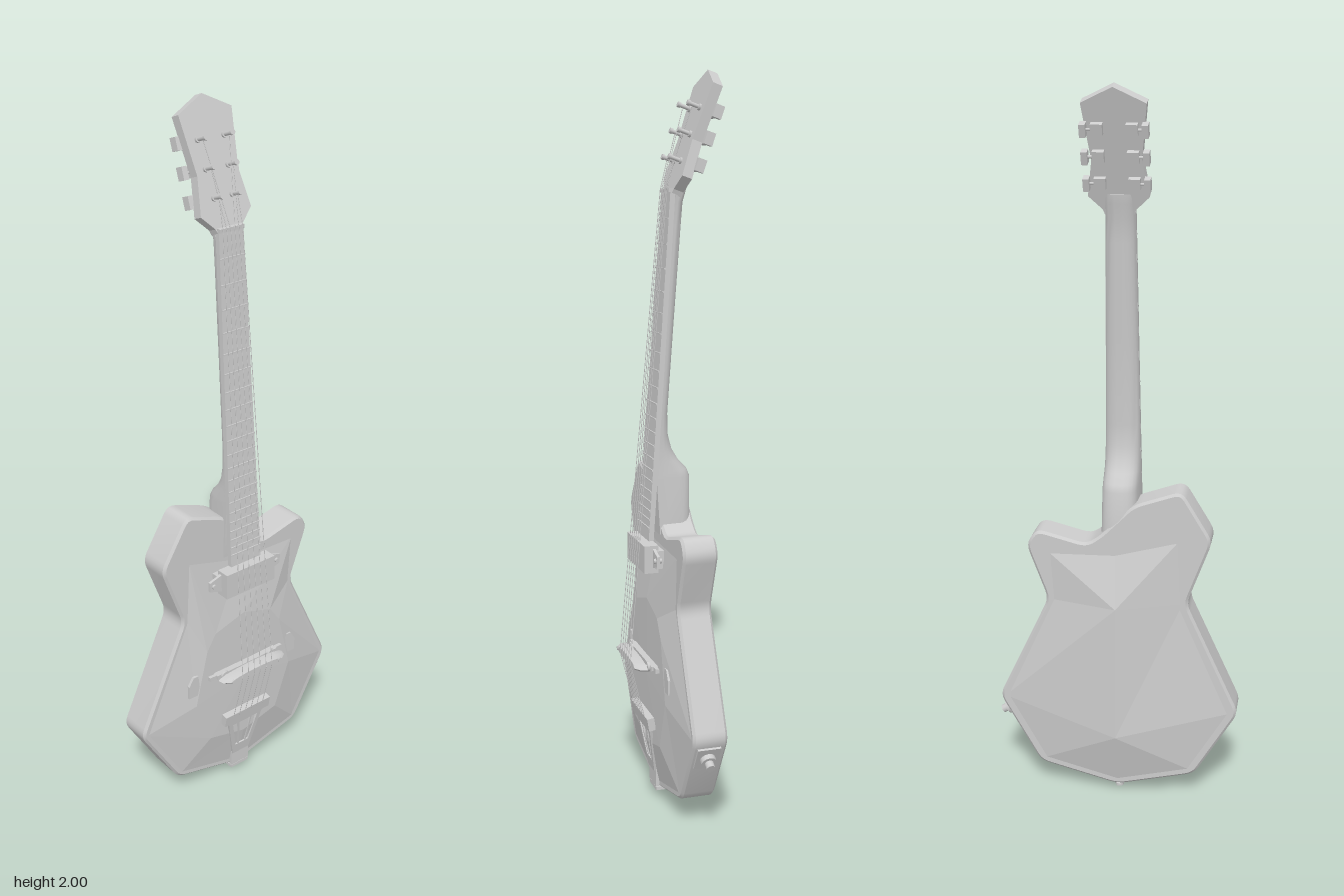
import * as THREE from 'three';
import { toCreasedNormals } from 'three/addons/utils/BufferGeometryUtils.js';

const V = (x, y, z) => new THREE.Vector3(x, y, z);
const CX = -0.008; // centre line of the neck and hardware

export function createModel() {
  const model = new THREE.Group();
  const grey = new THREE.MeshStandardMaterial({ color: 0xcccccc });
  grey.name = 'light grey';

  function add(name, geometry, parent = model, x = 0, y = 0, z = 0) {
    const mesh = new THREE.Mesh(geometry, grey);
    mesh.name = name;
    mesh.position.set(x, y, z);
    parent.add(mesh);
    return mesh;
  }
  const box = (name, w, h, d, x, y, z, parent) =>
    add(name, new THREE.BoxGeometry(w, h, d), parent, x, y, z);
  function rod(name, a, b, r, sides = 10, parent = model, r2 = r) {
    const dir = b.clone().sub(a);
    const mesh = add(name, new THREE.CylinderGeometry(r2, r, dir.length(), sides), parent);
    mesh.position.copy(a).add(b).multiplyScalar(0.5);
    mesh.quaternion.setFromUnitVectors(V(0, 1, 0), dir.normalize());
    return mesh;
  }
  function fromTriangles(points) {
    const g = new THREE.BufferGeometry().setFromPoints(points);
    g.computeVertexNormals();
    return g;
  }
  // Skin closed rings of equal length and cap both ends
  function loft(rings, crease = 0.6) {
    const t = [], n = rings[0].length, last = rings[rings.length - 1];
    for (let s = 0; s < rings.length - 1; s++) {
      const a = rings[s], b = rings[s + 1];
      for (let i = 0; i < n; i++) {
        const j = (i + 1) % n;
        t.push(a[i], a[j], b[j], a[i], b[j], b[i]);
      }
    }
    for (let i = 1; i < n - 1; i++) {
      t.push(rings[0][0], rings[0][i + 1], rings[0][i]);
      t.push(last[0], last[i], last[i + 1]);
    }
    return toCreasedNormals(fromTriangles(t), crease);
  }
  const polygon = (pts) => new THREE.Shape(pts.map(([x, y]) => new THREE.Vector2(x, y)));
  const plate = (shape, depth) => new THREE.ExtrudeGeometry(shape, { depth, bevelEnabled: false });
  // Polygon whose corners are softened by short curves
  function roundedShape(pts, r) {
    const s = new THREE.Shape(), n = pts.length;
    pts.forEach(([x, y], i) => {
      const p = new THREE.Vector2(x, y);
      const toward = ([qx, qy]) => {
        const d = new THREE.Vector2(qx, qy).sub(p), l = d.length();
        return p.clone().addScaledVector(d, Math.min(r, l * 0.4) / l);
      };
      const a = toward(pts[(i + n - 1) % n]), b = toward(pts[(i + 1) % n]);
      if (i) s.lineTo(a.x, a.y); else s.moveTo(a.x, a.y);
      s.quadraticCurveTo(x, y, b.x, b.y);
    });
    s.closePath();
    return s;
  }

  // Body rim with a small bevel
  const outline = [[0.04, 0.80], [-0.05, 0.893], [-0.182, 0.94], [-0.268, 0.80], [-0.20, 0.612],
    [-0.352, 0.285], [-0.23, 0.078], [CX, 0.022], [0.22, 0.078], [0.337, 0.285],
    [0.19, 0.60], [0.25, 0.76], [0.22, 0.807], [0.08, 0.772]];
  const rim = new THREE.ExtrudeGeometry(roundedShape(outline, 0.025), {
    depth: 0.081, bevelThickness: 0.007, bevelSize: 0.007, bevelOffset: -0.007,
    bevelSegments: 1, curveSegments: 4 });
  add('bodyRim', toCreasedNormals(rim, 0.5), model, 0, 0, -0.045);

  // Faceted domes: outer ring on the rim, inner ring raised
  const domeEdge = [[0.19, 0.745], [0, 0.75], [-0.18, 0.80], [-0.19, 0.612], [-0.335, 0.285],
    [-0.22, 0.09], [CX, 0.036], [0.21, 0.09], [0.32, 0.285], [0.18, 0.60]];
  function dome(name, inner, z0, z1, centre) {
    const t = [], n = inner.length, c = V(CX, 0.36, centre);
    for (let i = 0; i < n; i++) {
      const j = (i + 1) % n;
      const [a, b] = [domeEdge[i], domeEdge[j]].map(([x, y]) => V(x, y, z0));
      const [d, e] = [inner[i], inner[j]].map(([x, y]) => V(x, y, z1));
      const quad = [a, b, e, a, e, d, d, e, c];
      for (let k = 0; k < 9; k += 3) {
        const tri = quad.slice(k, k + 3);
        if (tri[0].equals(tri[1]) || tri[1].equals(tri[2])) continue;
        t.push(...(z1 > 0 ? tri : tri.reverse()));
      }
    }
    add(name, fromTriangles(t));
  }
  dome('bodyTop', [[0.09, 0.55], [CX, 0.58], [-0.11, 0.55], [-0.14, 0.50], [-0.18, 0.33],
    [-0.13, 0.19], [CX, 0.16], [0.115, 0.19], [0.165, 0.33], [0.125, 0.50]], 0.042, 0.069, 0.071);
  const upper = [CX, 0.60], lower = [CX, 0.20];
  dome('bodyBack', [upper, upper, upper, upper, lower, lower, lower, lower, lower, upper],
    -0.05, -0.096, -0.096);

  // Neck and heel: D-shaped sections
  const boardZ = (y) => 0.012 + (1.69 - y) * 0.0705;
  const boardW = (y) => 0.039 + (1.69 - y) * 0.0145;
  const neckSections = [[0.77, -0.051, 0.3], [0.925, -0.05, 0.35], [0.945, -0.042, 0.45], [0.97, -0.018, 0.6],
    [1.0, 0.0, 0.75], [1.04, 0.011, 0.85], [1.1, 0.013, 0.9], [1.35, -0.006, 0.9], [1.6, -0.026, 0.9],
    [1.66, -0.031, 0.85], [1.70, -0.042, 0.7], [1.725, -0.046, 0.6]];
  add('neck', loft(neckSections.map(([y, back, power]) => {
    const front = y > 1.69 ? -0.012 : y < 0.9 ? 0.045 : boardZ(y) - 0.012, ring = [];
    for (let i = 0; i <= 12; i++) {
      const a = i / 12 * Math.PI;
      const s = i === 12 ? 0 : Math.sin(a);
      ring.push(V(CX + Math.cos(a) * boardW(y), y, front - Math.pow(s, power) * (front - back)));
    }
    return ring;
  }), 0.8));

  // Fingerboard and frets
  add('fingerboard', loft([0.755, 1.685].map((y) => {
    const w = boardW(y), z = boardZ(y);
    return [V(CX + w, y, z), V(CX + w, y, z - 0.014), V(CX - w, y, z - 0.014), V(CX - w, y, z)];
  })));
  for (let n = 1; n <= 21; n++) {
    const y = 0.41 + 1.28 / Math.pow(2, n / 12);
    box('fret', boardW(y) * 2, 0.004, 0.004, CX, y, boardZ(y) + 0.001);
  }
  box('nut', 0.078, 0.01, 0.022, CX, 1.69, 0.006);

  // Tilted headstock with three tuners a side
  const head = new THREE.Group();
  head.name = 'headstock';
  head.position.set(CX, 1.68, 0.009);
  head.rotation.x = -0.336;
  model.add(head);
  const half = [[0.038, 0], [0.043, 0.014], [0.079, 0.05], [0.064, 0.148], [0.082, 0.298]];
  const headShape = polygon([...half, [0, 0.339], ...half.map(([x, y]) => [-x, y]).reverse()]);
  add('headstockPlate', plate(headShape, 0.028), head, 0, 0, -0.028);
  const tuners = [[0.029, 0.09], [0.035, 0.162], [0.041, 0.234]];
  for (const side of [-1, 1]) {
    for (const [px, v] of tuners) {
      const x = side * px, kx = side * 0.078;
      rod('tunerBushing', V(x, v, 0), V(x, v, 0.006), 0.009, 8, head);
      rod('tunerPost', V(x, v, 0), V(x, v, 0.038), 0.0055, 8, head);
      rod('tunerPostCap', V(x, v, 0.03), V(x, v, 0.038), 0.0075, 8, head);
      box('tunerGearbox', 0.03, 0.03, 0.016, side * 0.044, v, -0.035, head);
      rod('tunerShaft', V(side * 0.04, v, -0.037), V(kx, v, -0.037), 0.004, 8, head);
      box('tunerButton', 0.016, 0.034, 0.024, kx, v, -0.038, head);
    }
  }

  // Neck pickup with mounting ears
  box('pickup', 0.17, 0.076, 0.04, CX, 0.712, 0.08);
  box('pickupMount', 0.19, 0.05, 0.022, CX, 0.712, 0.058);
  for (const side of [-1, 1]) {
    const ear = polygon([[0, -0.026], [side * 0.04, -0.014], [side * 0.04, 0.014], [0, 0.026]]);
    add('pickupEar', plate(ear, 0.008), model, CX + side * 0.085, 0.715, 0.068);
    const x = CX + side * 0.112;
    rod('pickupScrew', V(x, 0.715, 0.06), V(x, 0.715, 0.082), 0.007);
  }

  // Lens-shaped bridge on two posts
  const bridgeRing = (w, h, z) => Array.from({ length: 16 }, (_, i) => {
    const a = i / 16 * Math.PI * 2;
    return V(CX + Math.cos(a) * w, 0.412 + Math.sin(a) * h, z);
  });
  add('bridge', loft([bridgeRing(0.117, 0.015, 0.1), bridgeRing(0.113, 0.015, 0.117),
    bridgeRing(0.094, 0.011, 0.13)]));
  box('bridgeBase', 0.22, 0.012, 0.02, CX, 0.412, 0.078);
  for (const side of [-1, 1]) {
    const x = CX + side * 0.085;
    rod('bridgePost', V(x, 0.412, 0.06), V(x, 0.412, 0.132), 0.006);
    rod('bridgeWheel', V(x, 0.412, 0.088), V(x, 0.412, 0.095), 0.014, 14);
    add('bridgeTip', new THREE.BoxGeometry(0.03, 0.012, 0.01), model, CX + side * 0.118, 0.412, 0.078);
    // Slanted sound holes
    const hole = polygon([[side * 0.02, -0.032], [side * 0.02, 0.008], [side * 0.004, 0.034],
      [side * -0.012, 0.034], [side * -0.02, -0.032]].map(([x, y]) => [-x * -1, y]));
    add('soundHole', plate(hole, 0.008), model, CX + side * 0.176, 0.398, 0.06);
  }

  // Trapeze tailpiece
  const tail = new THREE.Group();
  tail.name = 'tailpiece';
  tail.position.set(CX, 0.24, 0.08);
  tail.rotation.x = 0.165;
  model.add(tail);
  box('tailpieceBar', 0.165, 0.036, 0.02, 0, 0, 0, tail);
  const frame = polygon([[-0.066, -0.01], [-0.03, -0.165], [0.03, -0.165], [0.066, -0.01]]);
  frame.holes.push(polygon([[-0.046, -0.035], [0.046, -0.035], [0.024, -0.13], [-0.024, -0.13]]));
  add('tailpieceFrame', plate(frame, 0.008), tail, 0, 0, -0.004);
  for (const x of [-0.018, 0.018])
    box('tailpieceRib', 0.005, 0.1, 0.006, x, -0.083, 0, tail).rotation.z = x > 0 ? -0.1 : 0.1;
  box('tailpieceTab', 0.064, 0.05, 0.01, CX, 0.057, 0.048);
  box('tailpieceHook', 0.064, 0.01, 0.06, CX, 0.025, 0.022);

  // Strings: post to nut to bridge to tailpiece
  head.updateMatrix();
  for (let i = 0; i < 6; i++) {
    const u = (i - 2.5) / 2.5, side = u < 0 ? -1 : 1;
    const [px, v] = tuners[i < 3 ? i : 5 - i];
    const path = [V(side * px, v, 0.022).applyMatrix4(head.matrix), V(CX + u * 0.031, 1.69, 0.019),
      V(CX + u * 0.054, 0.412, 0.132), V(CX + u * 0.054, 0.245, 0.09)];
    for (let k = 0; k < 3; k++) rod('string', path[k], path[k + 1], 0.0011, 5);
  }

  // Output jack on the lower side edge, strap button and end nub
  const jack = new THREE.Group();
  jack.name = 'outputJack';
  jack.position.set(0.307, 0.232, -0.002);
  jack.rotation.z = -0.515;
  model.add(jack);
  box('jackPlate', 0.012, 0.075, 0.064, 0, 0, 0, jack);
  rod('jackCollar', V(0, 0, 0), V(0.02, 0, 0), 0.021, 12, jack);
  rod('jackSocket', V(0.015, 0, 0), V(0.038, 0, 0), 0.012, 12, jack);
  rod('strapButton', V(CX, 0.03, -0.012), V(CX, 0.006, -0.012), 0.006);
  rod('strapButtonCap', V(CX, 0.008, -0.012), V(CX, 0, -0.012), 0.012, 12);
  rod('edgeNub', V(0.128, 0.065, -0.002), V(0.137, 0.044, -0.002), 0.014, 10);

  return model;
}
